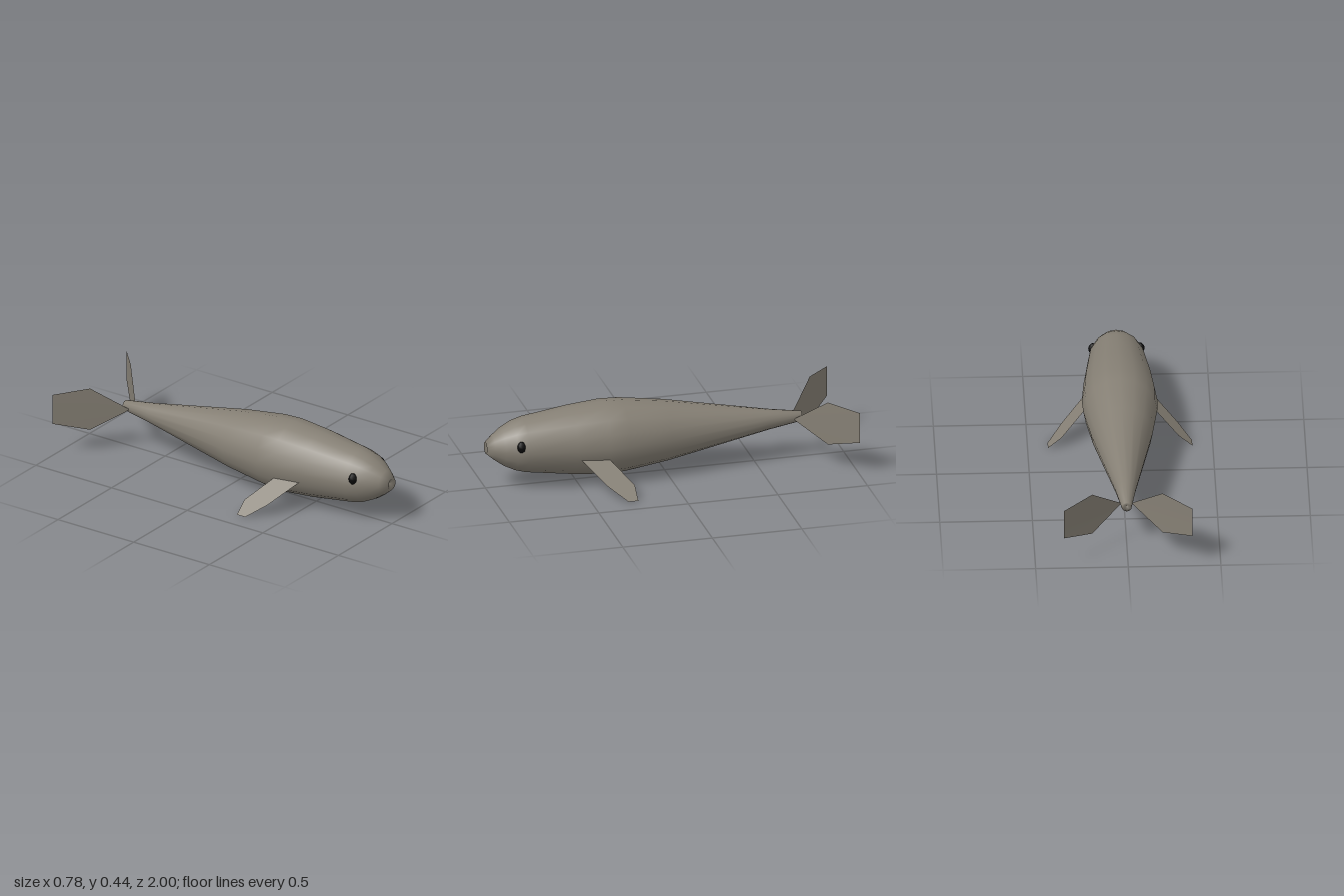
import * as THREE from 'three';

const AXIS_Y = 0.234;

// Flat double-sided panel from a convex outline, fanned from its first corner
function panel(points, material, name) {
  const index = [];
  for (let i = 1; i < points.length - 1; i++) index.push(0, i, i + 1);
  const geometry = new THREE.BufferGeometry();
  geometry.setAttribute('position', new THREE.Float32BufferAttribute(points.flat(), 3));
  geometry.setIndex(index);
  geometry.computeVertexNormals();
  const mesh = new THREE.Mesh(geometry, material);
  mesh.name = name;
  return mesh;
}

export function createModel() {
  const skin = new THREE.MeshStandardMaterial({ color: 0x857f74, side: THREE.DoubleSide });
  skin.name = 'greySkin';
  const black = new THREE.MeshStandardMaterial({ color: 0x0a0a0a });
  black.name = 'eyeBlack';

  const model = new THREE.Group();
  model.name = 'fish';

  // Body: spindle along z with dished tail stump and mouth, [radius, z]
  const profile = [
    [0, -0.745], [0.027, -0.763], [0.056, -0.58], [0.167, 0], [0.2, 0.24],
    [0.204, 0.35], [0.188, 0.53], [0.152, 0.79], [0.135, 0.85], [0.105, 0.91],
    [0.068, 0.96], [0.033, 1], [0, 0.975],
  ].map(([r, z]) => new THREE.Vector2(r, z));
  const body = new THREE.Mesh(new THREE.LatheGeometry(profile, 16).rotateX(Math.PI / 2), skin);
  body.position.y = AXIS_Y;
  body.name = 'body';
  model.add(body);

  for (const [side, s] of [['left', 1], ['right', -1]]) {
    // Side fin: slopes down and back, level along z
    const fin = [
      [0.15, 0.535], [0.19, 0.5], [0.312, 0.397], [0.39, 0.305],
      [0.39, 0.25], [0.317, 0.25], [0.206, 0.34], [0.12, 0.41],
    ].map(([x, z]) => [s * x, 0.85 * (0.39 - x), z]);
    model.add(panel(fin, skin, side + 'Fin'));

    // Tail fluke: upright blade angled outward and back
    const fluke = [
      [0.027, 0.229, -0.713], [0.19, 0.376, -0.862], [0.346, 0.36, -1],
      [0.346, 0.188, -1], [0.19, 0.131, -0.862],
    ].map(([x, y, z]) => [s * x, y, z]);
    model.add(panel(fluke, skin, side + 'TailFluke'));

    // Eye
    const eye = new THREE.Mesh(new THREE.SphereGeometry(0.03, 8, 6), black);
    eye.scale.set(0.85, 1.08, 0.8);
    eye.position.set(s * 0.127, 0.269, 0.832);
    eye.name = side + 'Eye';
    model.add(eye);
  }
  return model;
}
